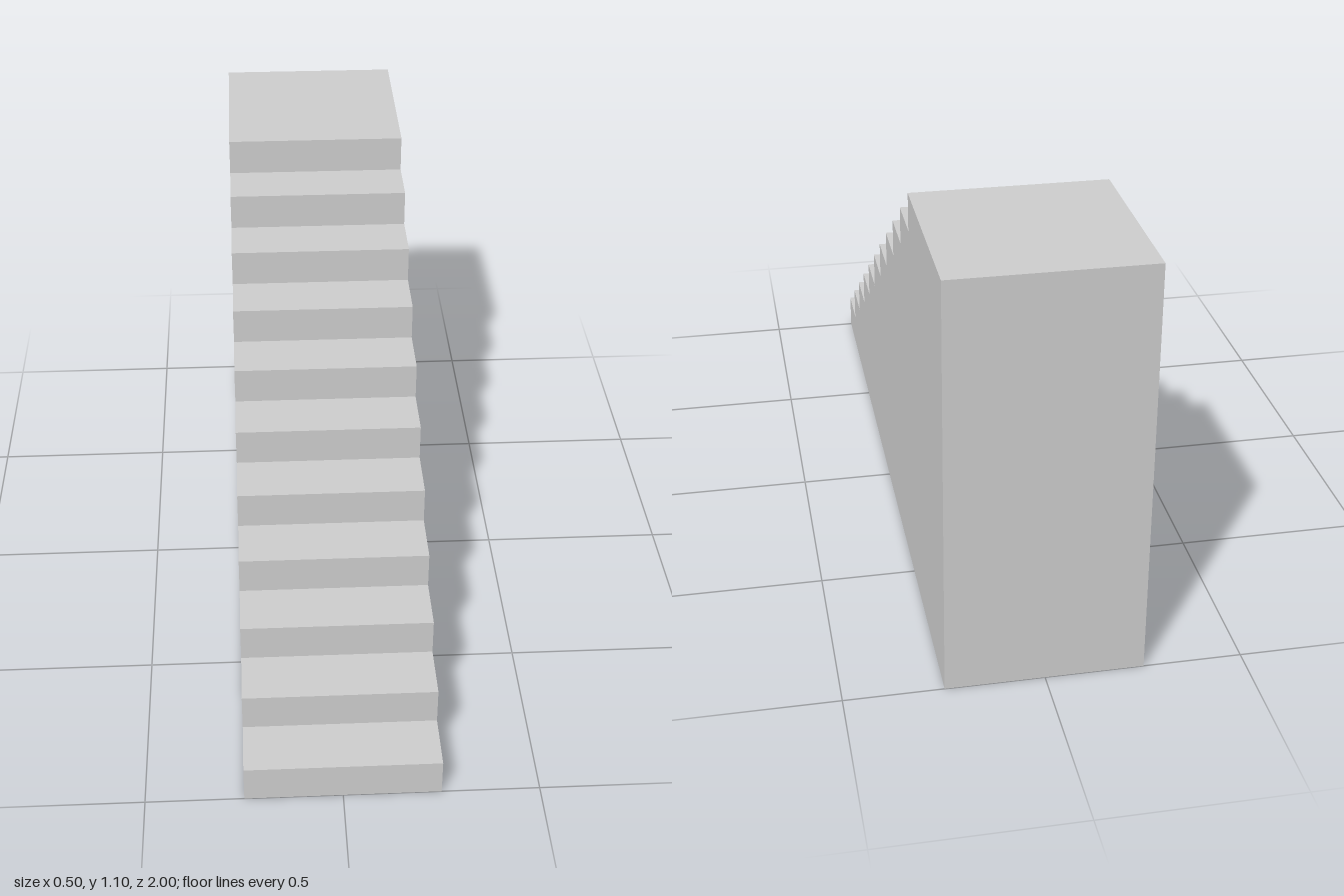
import * as THREE from 'three';

const WIDTH = 0.5;
const RISE = 0.1;
const TREAD = 0.15;
const STEPS = 10;
const FRONT = 1;
const BACK = -1;

export function createModel() {
  const group = new THREE.Group();
  group.name = 'staircase';

  // Side profile: shape x is the model's z, shape y is height
  const profile = new THREE.Shape();
  profile.moveTo(BACK, 0);
  profile.lineTo(FRONT, 0);
  for (let i = 0; i <= STEPS; i++) {
    const z = FRONT - i * TREAD;
    const top = (i + 1) * RISE;
    profile.lineTo(z, top); // riser
    profile.lineTo(i < STEPS ? z - TREAD : BACK, top); // tread, or the landing at the top
  }
  profile.closePath();

  // Solid flight of steps with landing, extruded across the width
  const geometry = new THREE.ExtrudeGeometry(profile, { depth: WIDTH, bevelEnabled: false });
  geometry.translate(0, 0, -WIDTH / 2);
  geometry.rotateY(-Math.PI / 2);

  const material = new THREE.MeshStandardMaterial({ color: 0xcccccc, flatShading: true });
  const steps = new THREE.Mesh(geometry, material);
  steps.name = 'stepsAndLanding';
  group.add(steps);

  return group;
}
